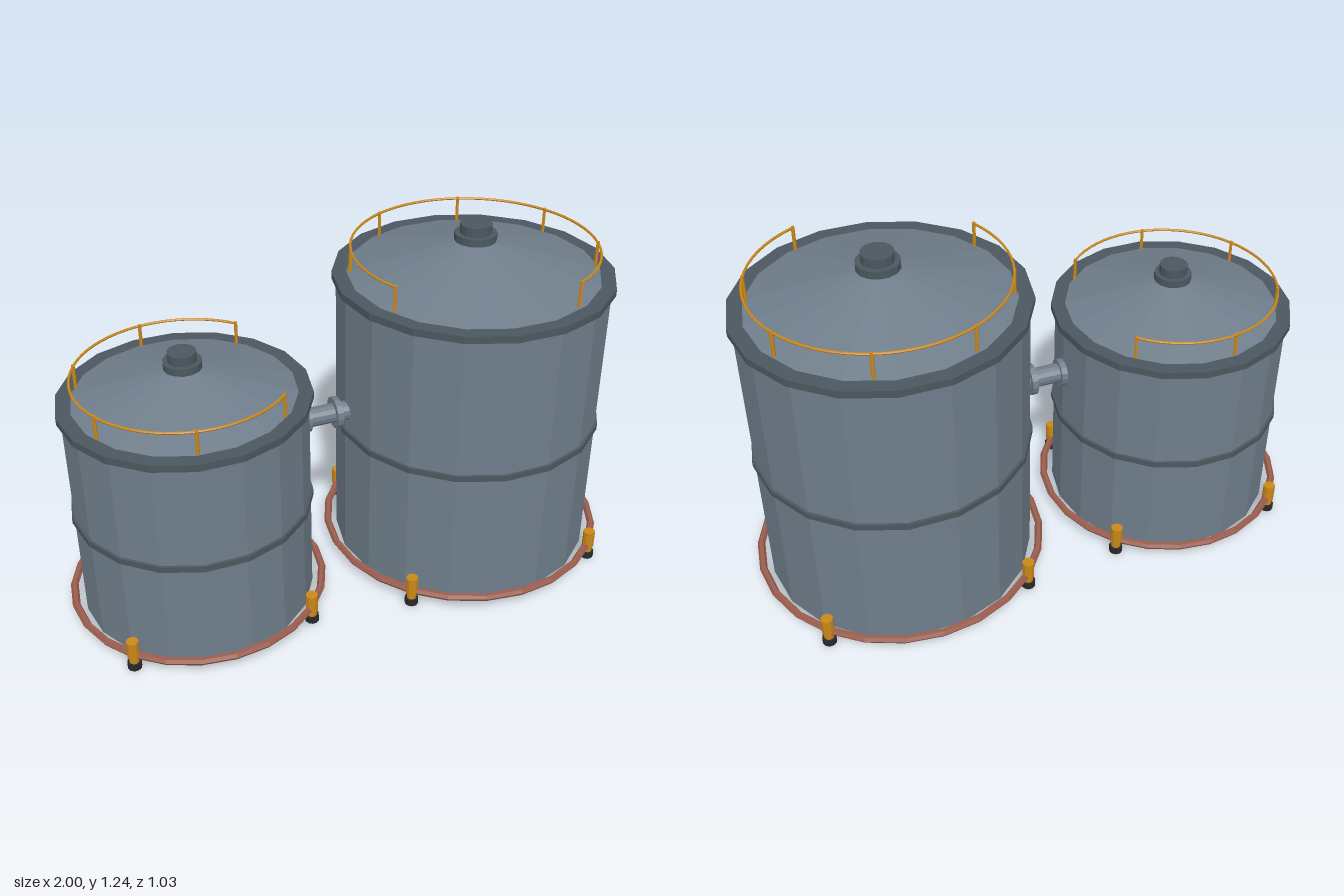
import * as THREE from 'three';

const mat = (name, color) => {
  const m = new THREE.MeshStandardMaterial({ color, flatShading: true });
  m.name = name;
  return m;
};

export function createModel() {
  const steel = mat('steel grey', 0x6f7d8a);
  const trim = mat('dark steel', 0x4b575f);
  const copper = mat('copper red', 0x9a5d4e);
  const amber = mat('amber', 0xc98718);
  const rubber = mat('black rubber', 0x26282a);
  const SIDES = 18;
  const model = new THREE.Group();
  model.name = 'storageTanks';

  const add = (parent, name, geometry, material) => {
    const mesh = new THREE.Mesh(geometry, material);
    mesh.name = name;
    parent.add(mesh);
    return mesh;
  };

  // Upright cylinder between two heights
  const drum = (parent, name, r, y0, y1, material, sides = SIDES, rTop = r) => {
    const g = new THREE.CylinderGeometry(rTop, r, y1 - y0, sides, 1, false, Math.PI / 2);
    g.translate(0, (y0 + y1) / 2, 0);
    return add(parent, name, g, material);
  };

  // Horizontal ring or arc; angles run from +x towards +z
  const hoop = (parent, name, r, tube, y, material, radial, segs, start = 0, arc = Math.PI * 2) => {
    const g = new THREE.TorusGeometry(r, tube, radial, segs, arc);
    g.rotateX(Math.PI / 2).rotateY(-start).translate(0, y, 0);
    return add(parent, name, g, material);
  };

  const place = (mesh, r, angle) => mesh.position.set(r * Math.cos(angle), 0, r * Math.sin(angle));

  function tank(name, o) {
    const t = new THREE.Group();
    t.name = name;
    t.position.x = o.x;
    model.add(t);

    // Shell, bands and conical roof
    drum(t, 'shell', o.r, 0.025, o.rim, steel);
    drum(t, 'middleBand', o.r + 0.009, o.band, o.band + 0.021, trim);
    drum(t, 'rim', o.r + 0.015, o.rim - 0.003, o.rim + 0.022, trim);
    drum(t, 'roof', o.r, o.rim + 0.012, o.apex, steel, SIDES, 0.03);

    // Roof vent
    drum(t, 'ventCollar', o.vent, o.apex - 0.002, o.apex + 0.024, trim, 14);
    drum(t, 'ventCap', o.vent * 0.75, o.apex + 0.024, o.apex + 0.056, trim, 14);

    // Guard rail with evenly spaced posts
    const arc = Math.PI * 1.5;
    hoop(t, 'guardRail', o.railR, 0.0045, o.railY, amber, 6, 48, o.railStart, arc);
    for (let i = 0; i < o.posts; i++) {
      const post = drum(t, 'railPost', 0.006, o.rim + 0.015, o.railY + 0.005, amber, 6);
      place(post, o.railR, o.railStart + (arc * i) / (o.posts - 1));
    }

    // Base pipe ring held by four feet
    hoop(t, 'basePipe', o.pipeR, 0.0135, 0.052, copper, 6, 24);
    for (let i = 0; i < 4; i++) {
      const foot = new THREE.Group();
      foot.name = 'foot';
      drum(foot, 'pad', 0.024, 0, 0.025, rubber, 10);
      drum(foot, 'stem', 0.017, 0.025, 0.045, amber, 10);
      drum(foot, 'clamp', 0.021, 0.045, 0.112, amber, 10);
      place(foot, o.pipeR + 0.003, Math.PI / 4 + (i * Math.PI) / 2);
      t.add(foot);
    }
  }

  const deg = Math.PI / 180;
  tank('largeTank', {
    x: 0.478, r: 0.467, rim: 1.05, band: 0.524, apex: 1.187, vent: 0.072,
    railR: 0.418, railY: 1.16, railStart: 153.4 * deg, posts: 7, pipeR: 0.502,
  });
  tank('smallTank', {
    x: -0.549, r: 0.403, rim: 0.79, band: 0.4, apex: 0.912, vent: 0.064,
    railR: 0.361, railY: 0.892, railStart: 45 * deg, posts: 6, pipeR: 0.439,
  });

  // Connecting pipe with flanges
  const crossPipe = (name, r, x0, x1, material) => {
    const g = new THREE.CylinderGeometry(r, r, x1 - x0, 14);
    g.rotateZ(Math.PI / 2).translate((x0 + x1) / 2, 0.618, 0);
    add(model, name, g, material);
  };
  crossPipe('connectingPipe', 0.034, -0.17, 0.03, steel);
  crossPipe('smallTankFlange', 0.048, -0.147, -0.126, steel);
  crossPipe('largeTankFlange', 0.056, -0.035, -0.014, steel);

  return model;
}
